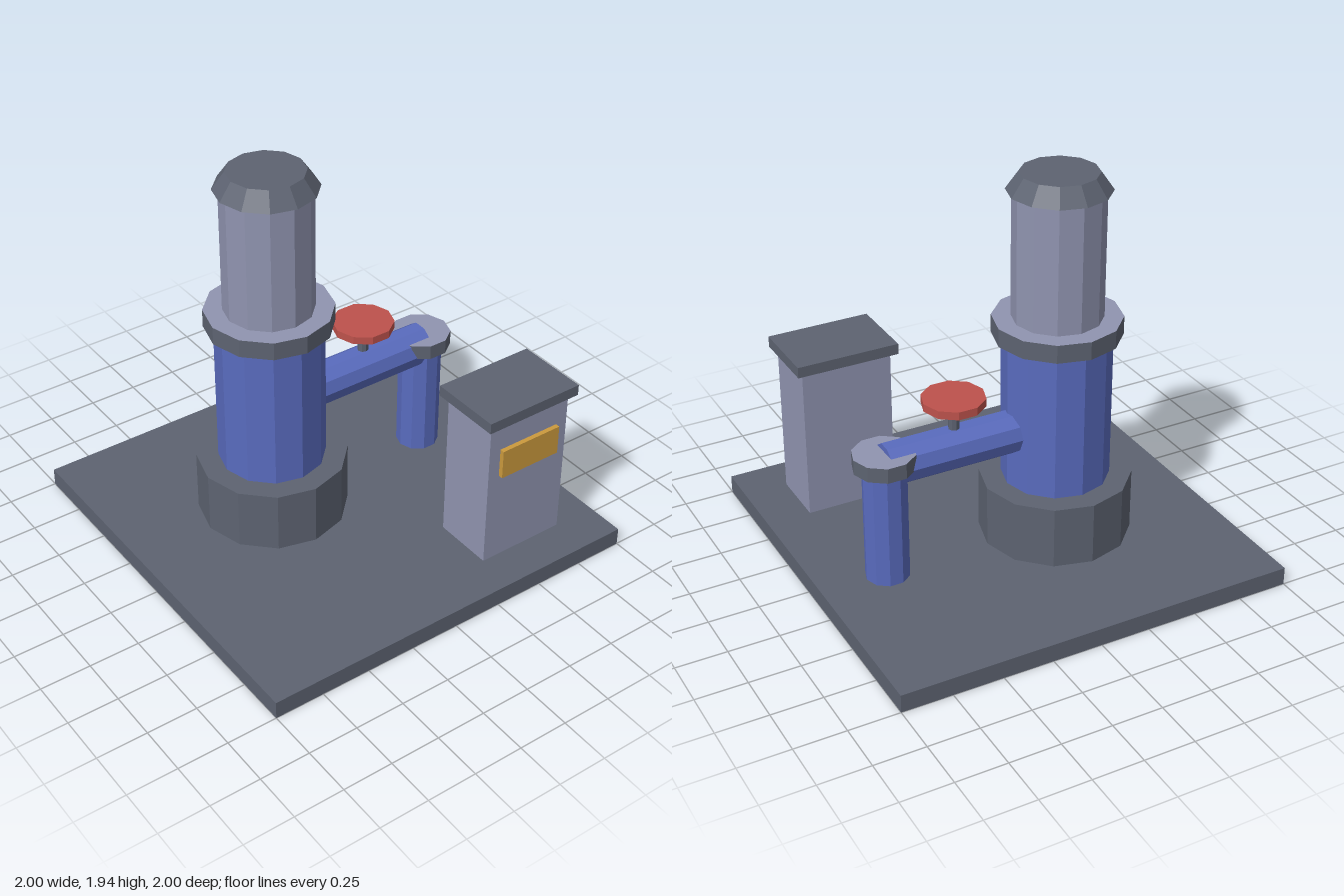
import * as THREE from 'three';

const mat = (name, color, side = THREE.FrontSide) =>
  new THREE.MeshStandardMaterial({ name, color, side, flatShading: true });

export function createModel() {
  const model = new THREE.Group();
  model.name = 'pumpStation';

  const dark = mat('darkGrey', 0x5d6371, THREE.DoubleSide);
  const light = mat('lightGrey', 0x9094b0);
  const blue = mat('pumpBlue', 0x596bbe);
  const red = mat('handwheelRed', 0xbd524c);
  const amber = mat('panelAmber', 0xcb9a3d);

  const add = (name, geometry, material, x, y, z) => {
    const mesh = new THREE.Mesh(geometry, material);
    mesh.name = name;
    mesh.position.set(x, y, z);
    model.add(mesh);
    return mesh;
  };
  // Upright faceted cylinder between two heights, with a corner on the x axis
  const drum = (name, material, x, y0, y1, r0, r1, sides) =>
    add(name, new THREE.CylinderGeometry(r1, r0, y1 - y0, sides, 1, false, Math.PI / 2),
      material, x, (y0 + y1) / 2, Z);
  const box = (name, material, [x0, x1], [y0, y1], [z0, z1]) =>
    add(name, new THREE.BoxGeometry(x1 - x0, y1 - y0, z1 - z0), material,
      (x0 + x1) / 2, (y0 + y1) / 2, (z0 + z1) / 2);

  const Z = -0.155;       // line shared by pump, pipe and valve
  const PUMP = -0.233;
  const OUTLET = 0.663;
  const flangeMats = [dark, light, dark]; // side, top, underside

  // Base pan, open underneath
  const pan = box('basePan', dark, [-1, 1], [0, 0.09], [-1, 1]).geometry;
  const index = Array.from(pan.index.array);
  index.splice(18, 6); // remove the bottom face
  pan.setIndex(index);
  pan.clearGroups();

  // Pump column
  drum('pumpPlinth', dark, PUMP, 0.09, 0.4, 0.368, 0.368, 12);
  drum('pumpCasing', blue, PUMP, 0.4, 1.14, 0.261, 0.261, 12);
  drum('motorFlange', flangeMats, PUMP, 1.14, 1.23, 0.307, 0.307, 12);
  drum('motorBody', light, PUMP, 1.23, 1.855, 0.216, 0.216, 12);
  drum('motorCap', dark, PUMP, 1.855, 1.94, 0.244, 0.184, 12);

  // Discharge pipe and downpipe
  const pipe = add('dischargePipe', new THREE.CylinderGeometry(0.105, 0.105, 0.66, 10),
    blue, 0.33, 0.68, Z);
  pipe.rotation.z = Math.PI / 2;
  drum('downPipe', blue, OUTLET, 0.05, 0.69, 0.107, 0.107, 10);
  drum('pipeFlange', flangeMats, OUTLET, 0.675, 0.75, 0.15, 0.15, 10);

  // Valve
  drum('valveStem', dark, 0.307, 0.76, 0.91, 0.027, 0.027, 8);
  drum('valveHandwheel', red, 0.307, 0.905, 0.945, 0.152, 0.152, 10);

  // Control cabinet
  box('cabinetBody', light, [0.32, 0.78], [0.09, 0.87], [0.495, 0.8]);
  box('cabinetLid', dark, [0.29, 0.812], [0.87, 0.925], [0.463, 0.83]);
  box('cabinetPanel', amber, [0.383, 0.718], [0.573, 0.724], [0.8, 0.823]);

  return model;
}
